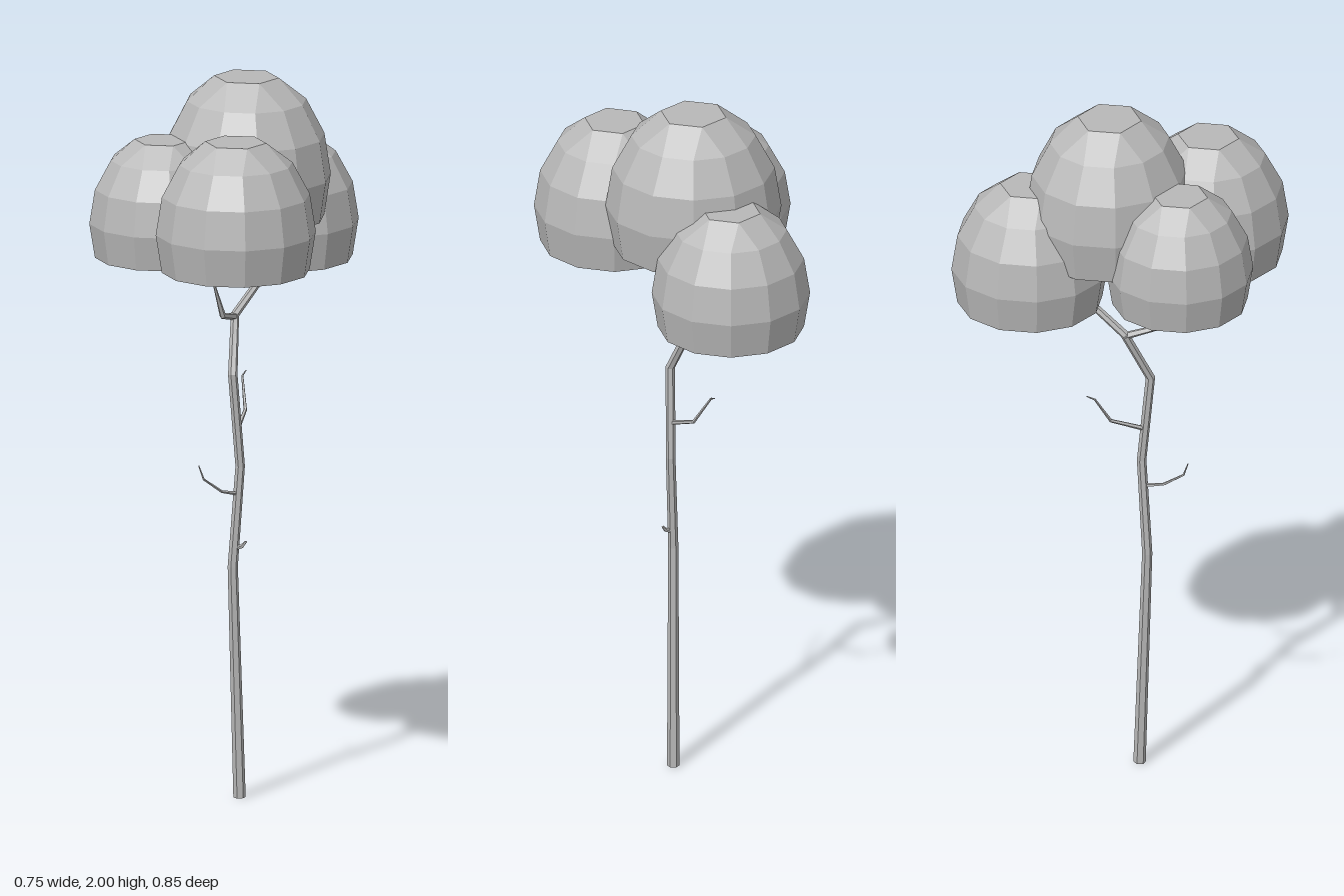
import * as THREE from 'three';

const grey = new THREE.MeshStandardMaterial({ color: 0xb8b8b8, flatShading: true });
grey.name = 'plain grey';

// Skin a stack of equal-length rings (ordered anticlockwise about the stacking direction), closing both ends.
function loft(rings, name) {
  const n = rings[0].length, pos = [], idx = [];
  const centre = (ring) => ring.reduce((s, p) => s.add(p), new THREE.Vector3()).divideScalar(n);
  rings.forEach((ring) => ring.forEach((p) => pos.push(p.x, p.y, p.z)));
  const last = rings.length - 1, lo = n * rings.length, hi = lo + 1;
  pos.push(...centre(rings[0]), ...centre(rings[last]));
  for (let j = 0; j < n; j++) {
    const k = (j + 1) % n;
    for (let i = 0; i < last; i++) {
      const a = i * n + j, b = i * n + k, c = b + n, d = a + n;
      idx.push(a, b, c, a, c, d);
    }
    idx.push(lo, k, j, hi, last * n + j, last * n + k);
  }
  const geo = new THREE.BufferGeometry();
  geo.setAttribute('position', new THREE.Float32BufferAttribute(pos, 3));
  geo.setIndex(idx);
  geo.computeVertexNormals();
  const mesh = new THREE.Mesh(geo, grey);
  mesh.name = name;
  return mesh;
}

// Bent, tapering limb through points [x, y, z, radius].
function limb(name, points, sides) {
  const v = points.map((p) => new THREE.Vector3(p[0], p[1], p[2]));
  const rings = points.map((p, i) => {
    const dir = v[Math.min(i + 1, v.length - 1)].clone().sub(v[Math.max(i - 1, 0)]).normalize();
    const turn = new THREE.Quaternion().setFromUnitVectors(new THREE.Vector3(0, 1, 0), dir);
    return Array.from({ length: sides }, (_, j) => {
      const a = -j / sides * Math.PI * 2;
      return new THREE.Vector3(Math.cos(a) * p[3], 0, Math.sin(a) * p[3]).applyQuaternion(turn).add(v[i]);
    });
  });
  return loft(rings, name);
}

// Twelve-sided leaf dome: a stretched sphere cut flat below, with a six-sided flat top.
function dome(name, x, z, rx, rz, bottom, top) {
  const step = Math.PI / 8, ry = (top - bottom) / (Math.cos(step) + Math.sin(step));
  const rings = [];
  for (let i = 5; i >= 1; i--) {
    const r = Math.sin(i * step), y = top + ry * (Math.cos(i * step) - Math.cos(step));
    rings.push(Array.from({ length: 12 }, (_, j) => {
      // neighbouring corners of the top ring merge in pairs
      const s = 12 - j, a = (i === 1 ? Math.floor(s / 2) * 2 + 0.5 : s) * Math.PI / 6;
      return new THREE.Vector3(x + Math.cos(a) * r * rx, y, z + Math.sin(a) * r * rz);
    }));
  }
  return loft(rings, name);
}

export function createModel() {
  const tree = new THREE.Group();
  tree.name = 'tree';

  // Trunk, running up into the rear dome
  tree.add(limb('trunk', [
    [-0.005, 0, 0.047, 0.017], [-0.005, 0.65, 0.07, 0.014], [0.002, 0.93, 0.05, 0.013],
    [0.003, 1.19, 0.076, 0.013], [-0.055, 1.34, 0.025, 0.012], [-0.075, 1.46, -0.115, 0.01],
    [-0.08, 1.5, -0.16, 0.008],
  ], 6));

  // Side branch and twigs
  tree.add(limb('upperBranch', [
    [-0.055, 1.335, 0.025, 0.011], [-0.01, 1.355, 0.1, 0.009], [0.01, 1.475, 0.152, 0.002],
  ], 5));
  tree.add(limb('backTwig', [
    [0, 1.03, 0.06, 0.007], [-0.06, 1.067, -0.014, 0.005], [-0.108, 1.15, -0.04, 0.003],
    [-0.118, 1.16, -0.06, 0.0015],
  ], 5));
  tree.add(limb('frontTwig', [
    [0, 0.853, 0.055, 0.006], [0.004, 0.868, 0.115, 0.004], [0.003, 0.91, 0.175, 0.003],
    [0, 0.95, 0.19, 0.0015],
  ], 5));
  tree.add(limb('stub', [
    [-0.002, 0.7, 0.066, 0.007], [0.016, 0.708, 0.055, 0.006], [0.024, 0.722, 0.046, 0.003],
  ], 5));

  // Leaf domes
  tree.add(dome('topLeaves', -0.06, -0.018, 0.24, 0.228, 1.61, 2));
  tree.add(dome('leftLeaves', 0.155, 0.18, 0.22, 0.22, 1.525, 1.885));
  tree.add(dome('frontRightLeaves', -0.122, 0.222, 0.203, 0.2, 1.52, 1.845));
  tree.add(dome('backRightLeaves', -0.162, -0.21, 0.216, 0.215, 1.45, 1.8));
  return tree;
}
